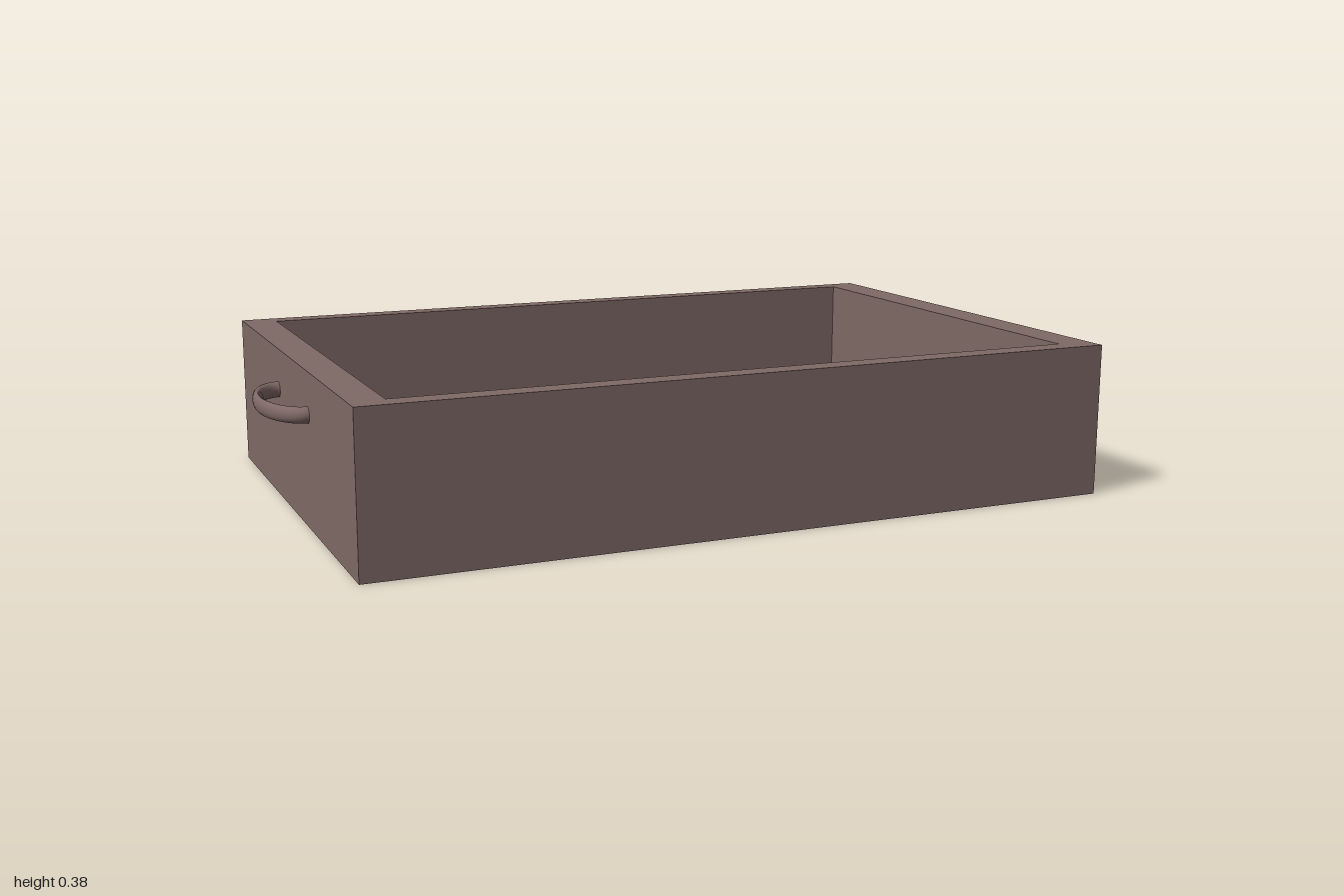
import * as THREE from 'three';

const WALL_X = -0.91; // outer face that carries the handle
const HEIGHT = 0.385;
const FLOOR = 0.04;

// Traces a rectangle given in plan (x, z) onto a shape or path
function rectangle(path, x0, x1, z0, z1) {
  path.moveTo(x0, -z1);
  path.lineTo(x1, -z1);
  path.lineTo(x1, -z0);
  path.lineTo(x0, -z0);
  path.closePath();
  return path;
}

export function createModel() {
  const group = new THREE.Group();
  group.name = 'drawer';
  const wood = new THREE.MeshStandardMaterial({ color: 0x7f6966 });
  wood.name = 'brown wood';

  const add = (name, geometry) => {
    const mesh = new THREE.Mesh(geometry, wood);
    mesh.name = name;
    group.add(mesh);
    return mesh;
  };

  // Four walls as one frame
  const outline = rectangle(new THREE.Shape(), WALL_X, 1, -0.623, 0.623);
  outline.holes.push(rectangle(new THREE.Path(), -0.826, 0.91, -0.571, 0.567));
  const walls = new THREE.ExtrudeGeometry(outline, { depth: HEIGHT, bevelEnabled: false });
  walls.rotateX(-Math.PI / 2);
  add('walls', walls);

  // Floor panel set between the walls
  const floor = new THREE.BoxGeometry(1.736, FLOOR, 1.138);
  add('floor', floor).position.set(0.042, FLOOR / 2, -0.002);

  // Pull handle: a flattened half ring
  const handle = new THREE.TorusGeometry(0.165, 0.02, 16, 48, Math.PI);
  handle.rotateZ(Math.PI / 2);
  handle.rotateX(Math.PI / 2);
  handle.scale(0.09 / 0.185, 1, 1);
  add('handle', handle).position.set(WALL_X, 0.28, 0.013);

  return group;
}
